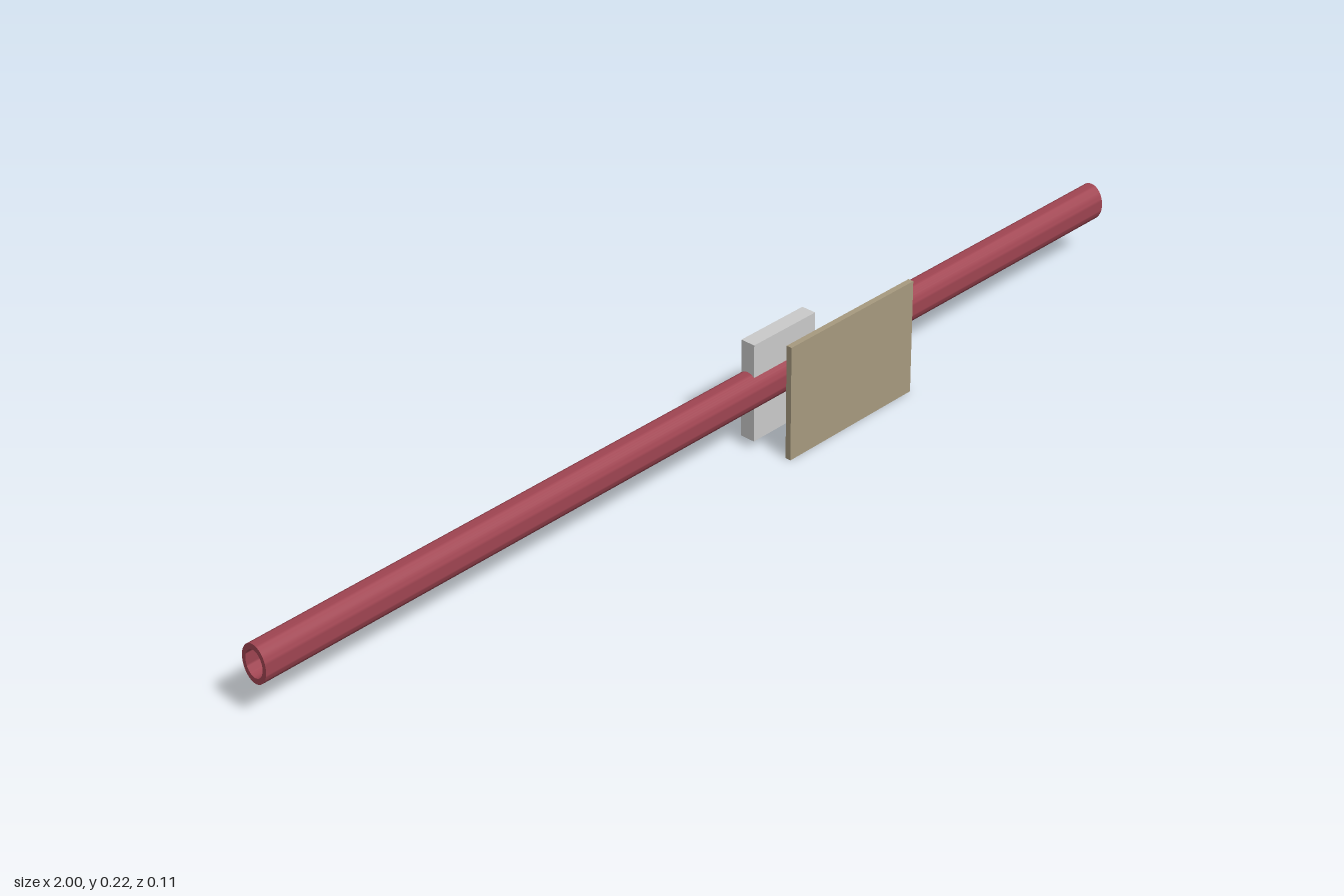
import * as THREE from 'three';
import { toCreasedNormals } from 'three/addons/utils/BufferGeometryUtils.js';

const material = (color) => new THREE.MeshStandardMaterial({ color });

// Box given by its lowest and highest corners
function slab(name, min, max, color) {
  const size = max.map((v, i) => v - min[i]);
  const mesh = new THREE.Mesh(new THREE.BoxGeometry(...size), material(color));
  mesh.position.set(...max.map((v, i) => (v + min[i]) / 2));
  mesh.name = name;
  return mesh;
}

// Hollow pipe along x with an oval cross-section
function ovalPipe(length, radiusY, radiusZ, boreRatio) {
  const h = length / 2;
  const wall = [[1, -h], [1, h], [boreRatio, h], [boreRatio, -h], [1, -h]]
    .map(([r, y]) => new THREE.Vector2(r, y));
  const geometry = new THREE.LatheGeometry(wall, 48);
  geometry.scale(radiusY, 1, radiusZ);
  geometry.rotateZ(Math.PI / 2);
  return toCreasedNormals(geometry, Math.PI / 5);
}

export function createModel() {
  const model = new THREE.Group();

  // Long pipe, open at both ends
  const pipe = new THREE.Mesh(ovalPipe(2, 0.0355, 0.0268, 0.71), material(0xa04552));
  pipe.position.set(0, 0.109, -0.0268);
  pipe.name = 'pipe';
  model.add(pipe);

  // Block that the pipe runs through
  model.add(slab('block', [0.075, 0.016, -0.0412], [0.226, 0.201, -0.0125], 0xcccccc));

  // Thin plate standing free in front
  model.add(slab('frontPlate', [0.091, 0, 0.0445], [0.399, 0.216, 0.0553], 0xa89b80));

  return model;
}
